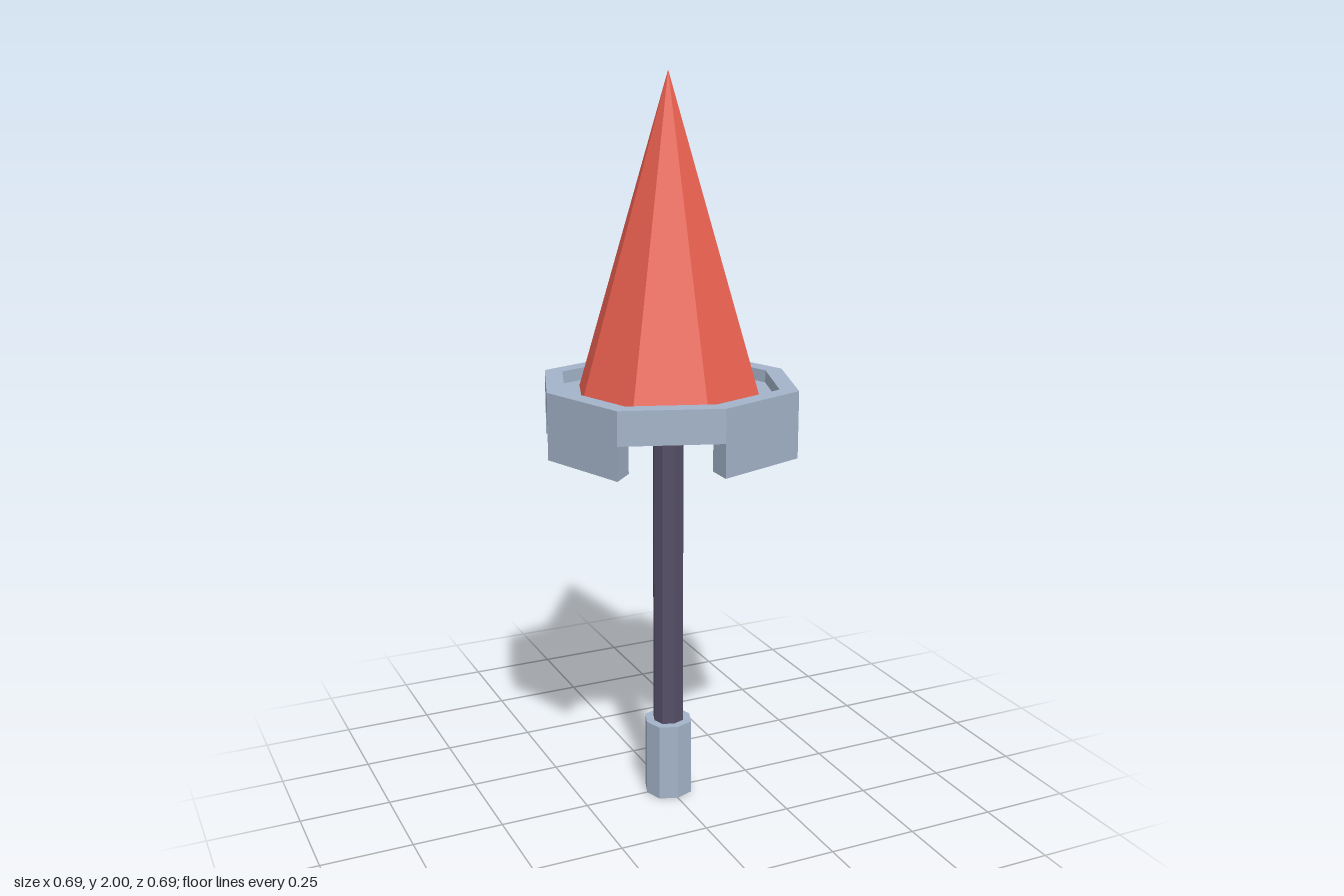
import * as THREE from 'three';

const DIAGONAL = 1.05; // corners on the diagonals sit slightly further out

const makeMaterial = (color) => {
  const m = new THREE.MeshStandardMaterial({ flatShading: true });
  m.color.set(color);
  return m;
};

// Corner i of the octagon, counted from +x, in shape coordinates
function corner(radius, i) {
  const r = radius * (i % 2 ? DIAGONAL : 1);
  const a = (i * Math.PI) / 4;
  return new THREE.Vector2(Math.cos(a) * r, Math.sin(a) * r);
}

const octagon = (radius) => Array.from({ length: 8 }, (_, i) => corner(radius, i));

// Upright prism from an outline, with an optional hole
function prism(name, points, y0, y1, material, hole) {
  const shape = new THREE.Shape(points);
  if (hole) shape.holes.push(new THREE.Path(hole));
  const geometry = new THREE.ExtrudeGeometry(shape, { depth: y1 - y0, bevelEnabled: false });
  geometry.rotateX(-Math.PI / 2);
  geometry.translate(0, y0, 0);
  const mesh = new THREE.Mesh(geometry, material);
  mesh.name = name;
  return mesh;
}

// Eight-sided spike with the same stretched diagonals
function spike(radius, y0, y1, material) {
  const geometry = new THREE.ConeGeometry(radius, y1 - y0, 8);
  const p = geometry.attributes.position;
  for (let i = 0; i < p.count; i++) {
    const onDiagonal = Math.abs(p.getX(i)) > 1e-4 && Math.abs(p.getZ(i)) > 1e-4;
    const s = onDiagonal ? DIAGONAL : 1;
    p.setXYZ(i, p.getX(i) * s, p.getY(i), p.getZ(i) * s);
  }
  geometry.translate(0, (y0 + y1) / 2, 0);
  geometry.computeVertexNormals();
  const mesh = new THREE.Mesh(geometry, material);
  mesh.name = 'spike';
  return mesh;
}

export function createModel() {
  const group = new THREE.Group();
  group.name = 'spikedStaff';
  const steel = makeMaterial(0xa3b3c8);
  const dark = makeMaterial(0x554e66);
  const red = makeMaterial(0xe8604f);

  // Handle
  group.add(prism('pommel', octagon(0.066), 0, 0.22, steel));
  group.add(prism('shaft', octagon(0.042), 0.2, 1.12, dark));

  // Collar: raised rim around a sunken floor
  group.add(prism('collarRim', octagon(0.343), 1.11, 1.2, steel, octagon(0.293)));
  group.add(prism('collarFloor', octagon(0.293), 1.11, 1.166, steel));

  // Four prongs hanging under every other side of the collar
  for (let k = 0; k < 4; k++) {
    const i = 6 + 2 * k;
    const outline = [corner(0.343, i), corner(0.343, i + 1), corner(0.272, i + 1), corner(0.272, i)];
    group.add(prism('prong' + (k + 1), outline, 1.02, 1.11, steel));
  }

  group.add(spike(0.245, 1.166, 2, red));
  return group;
}
